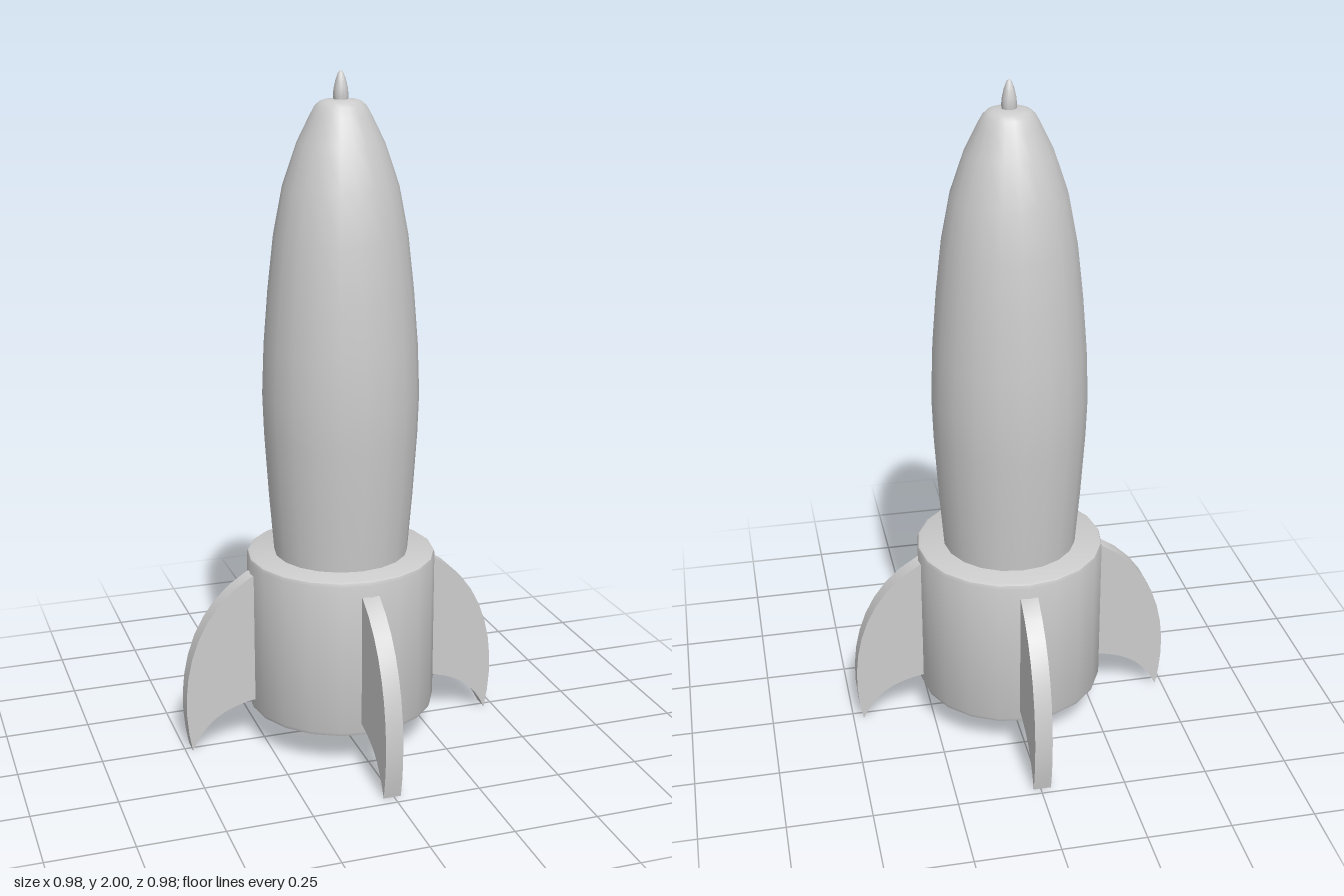
import * as THREE from 'three';
import { toCreasedNormals } from 'three/addons/utils/BufferGeometryUtils.js';

const SIDES = 20;
const material = new THREE.MeshStandardMaterial({ color: 0xcccccc });

function addMesh(parent, name, geometry) {
  const mesh = new THREE.Mesh(geometry, material);
  mesh.name = name;
  parent.add(mesh);
  return mesh;
}

// Revolves a bottom-to-top list of [radius, height] pairs.
function turned(profile, sides = SIDES) {
  const points = profile.map(([r, y]) => new THREE.Vector2(r, y));
  return toCreasedNormals(new THREE.LatheGeometry(points, sides), 0.75);
}

// Swept-back fin blade, centred on its thickness, pointing along +x.
function finGeometry(thickness) {
  const shape = new THREE.Shape();
  shape.moveTo(0.26, 0.14);
  shape.lineTo(0.283, 0.14);
  shape.bezierCurveTo(0.37, 0.125, 0.43, 0.095, 0.474, 0);
  shape.bezierCurveTo(0.515, 0.18, 0.485, 0.43, 0.283, 0.538);
  shape.lineTo(0.26, 0.538);
  shape.closePath();
  const geometry = new THREE.ExtrudeGeometry(shape, { depth: thickness, bevelEnabled: false, curveSegments: 10 });
  geometry.translate(0, 0, -thickness / 2);
  return toCreasedNormals(geometry, 0.6);
}

export function createModel() {
  const rocket = new THREE.Group();
  rocket.name = 'rocket';

  // Hull, tail collar and nose tip share one axis.
  const core = new THREE.Group();
  core.name = 'core';
  core.position.set(-0.003, 0, -0.003);
  rocket.add(core);

  addMesh(core, 'hull', turned([
    [0, 0.5], [0.193, 0.5], [0.2, 0.585], [0.214, 0.76], [0.226, 0.95], [0.23, 1.07],
    [0.224, 1.22], [0.211, 1.38], [0.193, 1.54], [0.166, 1.68], [0.125, 1.8],
    [0.088, 1.875], [0.073, 1.902], [0.06, 1.914], [0.045, 1.919], [0, 1.92],
  ]));

  addMesh(core, 'tailCollar', turned([
    [0, 0.1], [0.268, 0.1], [0.279, 0.104], [0.283, 0.115],
    [0.283, 0.572], [0.28, 0.582], [0.272, 0.586], [0, 0.586],
  ]));

  addMesh(core, 'noseTip', turned([
    [0, 1.915], [0.02, 1.915], [0.022, 1.93], [0.02, 1.95],
    [0.015, 1.972], [0.008, 1.992], [0, 2],
  ], 16));

  // Four fins at right angles.
  const fins = new THREE.Group();
  fins.name = 'fins';
  fins.position.set(-0.005, 0, -0.005);
  rocket.add(fins);
  const blade = finGeometry(0.052);
  for (let i = 0; i < 4; i++) {
    addMesh(fins, `fin${i + 1}`, blade).rotation.y = (i * Math.PI) / 2;
  }

  return rocket;
}
